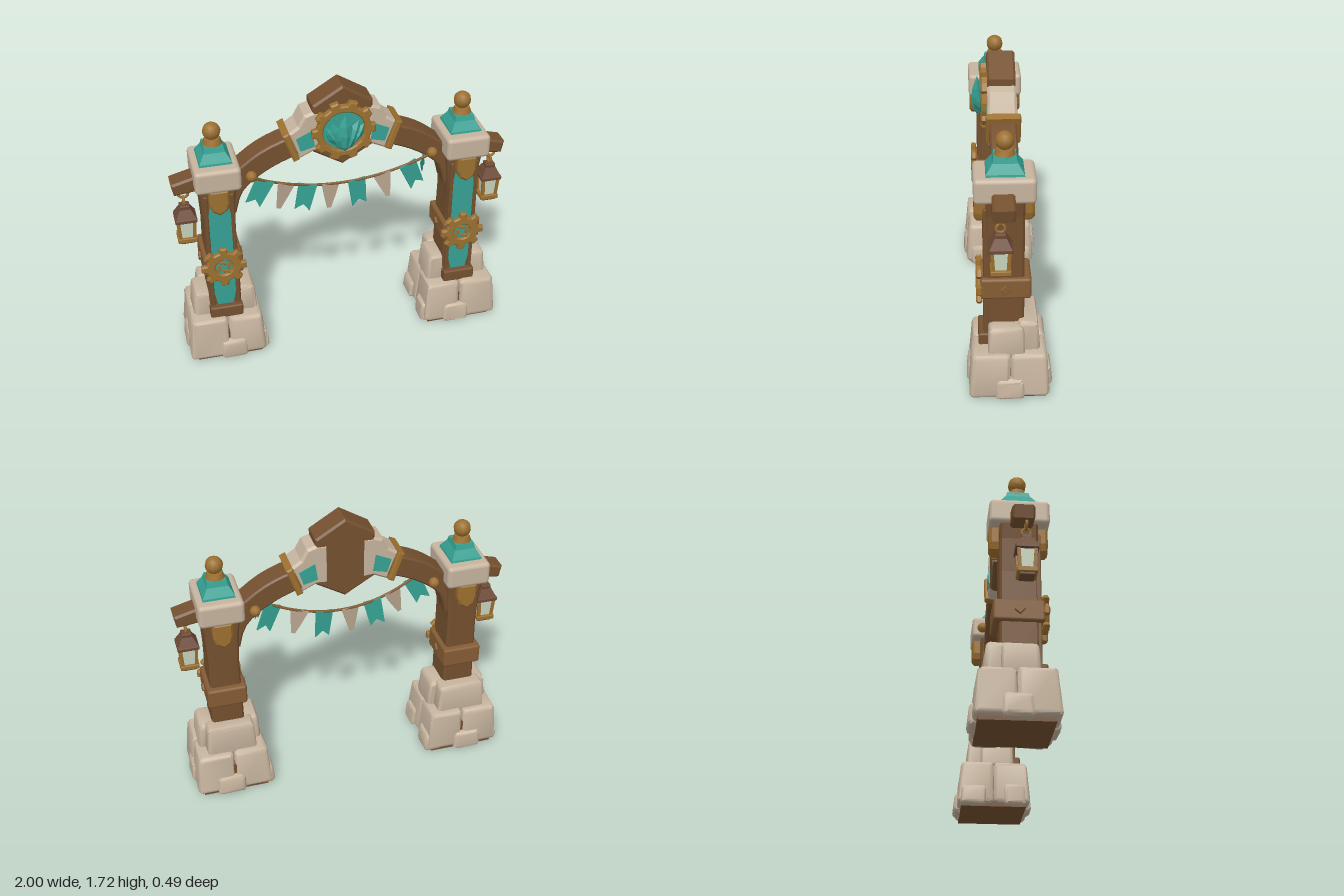
import * as THREE from 'three';
import { mergeVertices, toCreasedNormals } from 'three/addons/utils/BufferGeometryUtils.js';
import { RoundedBoxGeometry } from 'three/addons/geometries/RoundedBoxGeometry.js';

const mat = (name, color) => {
  const m = new THREE.MeshStandardMaterial({ color });
  m.name = name;
  return m;
};

export function createModel() {
  const wood = mat('wood', 0x74502f), bandWood = mat('light wood', 0x855c34), gold = mat('gold', 0x9c7030);
  const teal = mat('teal', 0x36a294), stone = mat('stone', 0xc6b49e), linen = mat('linen', 0xb8a48e);
  const glass = mat('lantern glass', 0xc9d6bf), iron = mat('lantern brown', 0x6e4a36);

  const root = new THREE.Group();
  root.name = 'festivalArch';
  const CX = 0.74, CZ = 0.025;

  let seed = 7;
  const rand = () => ((seed = (seed * 16807) % 2147483647) / 2147483647) - 0.5;

  const add = (parent, name, geo, material, x = 0, y = 0, z = 0) => {
    const m = new THREE.Mesh(geo, material);
    m.name = name;
    m.position.set(x, y, z);
    parent.add(m);
    return m;
  };
  const box = (w, h, d, r = 0.012) => new RoundedBoxGeometry(w, h, d, 1, r);
  const crease = (g, a = 0.6) => toCreasedNormals(g, a);

  // Outline extruded from z0 to z1 with a bevel kept inside the outline
  const slab = (pts, z0, z1, b = 0.01, hole) => {
    const shape = new THREE.Shape(pts.map(p => new THREE.Vector2(p[0], p[1])));
    if (hole) shape.holes.push(new THREE.Path().absarc(0, 0, hole, 0, Math.PI * 2, true));
    const g = new THREE.ExtrudeGeometry(shape, {
      depth: z1 - z0 - 2 * b, bevelEnabled: b > 0, bevelSize: b, bevelThickness: b,
      bevelOffset: -b, bevelSegments: 1, curveSegments: 10,
    });
    g.translate(0, 0, z0 + b);
    return g;
  };
  const mirrored = half => [...half, ...half.slice().reverse().filter(p => p[0] !== 0).map(([x, y]) => [-x, y])];

  // Toothed ring
  const gear = (teeth, rIn, rRoot, rOut, z0, z1) => {
    const pts = [], step = (Math.PI * 2) / teeth;
    for (let i = 0; i < teeth; i++) {
      for (const [f, r] of [[-0.3, rRoot], [-0.2, rOut], [0.2, rOut], [0.3, rRoot]]) {
        const a = (i + f) * step;
        pts.push([Math.cos(a) * r, Math.sin(a) * r]);
      }
    }
    return slab(pts, z0, z1, 0.008, rIn);
  };

  // Worn rounded block, pulled in towards the pillar axis as it rises
  const block = (o0, o1, y0, y1, z0, z1, s) => {
    let g = new RoundedBoxGeometry(o1 - o0, y1 - y0, z1 - z0, 2, 0.028);
    g.translate((o0 + o1) / 2 * s, (y0 + y1) / 2, (z0 + z1) / 2);
    g.deleteAttribute('normal');
    g.deleteAttribute('uv');
    g = mergeVertices(g);
    const p = g.attributes.position;
    for (let i = 0; i < p.count; i++) {
      const k = 1 - 0.35 * p.getY(i);
      p.setXYZ(i, p.getX(i) * k + rand() * 0.006, p.getY(i) + rand() * 0.006, p.getZ(i) * k + rand() * 0.006);
    }
    return crease(g, 0.8);
  };

  // Outward offset, height and depth ranges of the footing stones
  const stones = [
    [0.003, 0.245, 0.02, 0.29, 0, 0.235], [-0.23, -0.003, 0.02, 0.285, 0, 0.23],
    [0.003, 0.24, 0.02, 0.285, -0.225, 0], [-0.23, -0.003, 0.02, 0.29, -0.225, 0],
    [-0.11, 0.06, 0.005, 0.135, 0.1, 0.245], [-0.25, -0.1, 0.005, 0.14, 0.06, 0.2],
    [0.13, 0.255, 0.01, 0.14, -0.08, 0.09], [-0.06, 0.12, 0.005, 0.13, -0.245, -0.1],
    [-0.25, -0.12, 0.005, 0.13, -0.21, -0.05],
    [0.08, 0.215, 0.26, 0.44, -0.09, 0.14], [-0.215, -0.08, 0.26, 0.45, -0.09, 0.14],
    [-0.17, 0.17, 0.26, 0.46, -0.185, -0.05],
  ];

  const lantern = (parent, x, z) => {
    const l = new THREE.Group();
    l.name = 'lantern';
    l.position.set(x, 0, z);
    parent.add(l);
    add(l, 'lanternHook', new THREE.TorusGeometry(0.028, 0.009, 6, 12), gold, 0, 1.135);
    add(l, 'lanternLink', new THREE.TorusGeometry(0.024, 0.008, 6, 12), gold, 0, 1.085).rotation.y = Math.PI / 2;
    const pyramid = (rt, rb, h) => new THREE.CylinderGeometry(rt, rb, h, 4).rotateY(Math.PI / 4).toNonIndexed();
    const roof = pyramid(0.045, 0.085, 0.055);
    roof.computeVertexNormals();
    add(l, 'lanternRoof', roof, iron, 0, 1.012);
    add(l, 'lanternTop', box(0.06, 0.025, 0.06, 0.006), iron, 0, 1.05);
    add(l, 'lanternEave', box(0.128, 0.025, 0.128, 0.006), iron, 0, 0.975);
    const pane = pyramid(0.064, 0.054, 0.12);
    pane.computeVertexNormals();
    add(l, 'lanternGlass', pane, glass, 0, 0.905);
    for (const i of [-1, 1]) for (const j of [-1, 1]) {
      const post = add(l, 'lanternPost', new THREE.BoxGeometry(0.018, 0.13, 0.018), gold, i * 0.043, 0.905, j * 0.043);
      post.rotation.set(j * 0.06, 0, -i * 0.06);
    }
    add(l, 'lanternFoot', box(0.112, 0.03, 0.112, 0.006), gold, 0, 0.837);
    add(l, 'lanternBase', box(0.085, 0.02, 0.085, 0.006), iron, 0, 0.819);
  };

  for (const s of [-1, 1]) {
    const side = s > 0 ? 'left' : 'right';
    const map = pts => pts.map(([x, y]) => [x * s, y]);
    const pillar = new THREE.Group();
    pillar.name = side + 'Pillar';
    pillar.position.x = s * CX;
    root.add(pillar);

    // Footing
    add(pillar, 'footingCore', new THREE.BoxGeometry(0.4, 0.2, 0.4), wood, 0, 0.1, 0);
    stones.forEach(b => add(pillar, 'footingStone', block(...b, s), stone));

    // Post, front rails, plinth and middle band
    add(pillar, 'post', slab(mirrored([[0.1, 0.25], [0.095, 0.6], [0.09, 0.9], [0.1, 1.1], [0.12, 1.22]]), -0.08, 0.13, 0.012), wood);
    for (const i of [-1, 1]) add(pillar, 'frontRail', box(0.024, 0.8, 0.03, 0.006), wood, i * 0.077, 0.74, 0.13);
    add(pillar, 'plinth', box(0.2, 0.08, 0.1), wood, 0, 0.32, 0.125);
    add(pillar, 'middleBand', box(0.238, 0.125, 0.28, 0.015), bandWood, 0, 0.66, 0.022);
    for (const i of [-1, 1]) add(pillar, 'bandStud', box(0.025, 0.045, 0.045, 0.006), bandWood, i * 0.119, 0.66, CZ).rotation.x = 0.7;

    // Banner and its gear
    add(pillar, 'banner', slab(mirrored([[0.045, 0.35], [0.066, 0.45], [0.066, 1.0], [0.05, 1.08]]), 0.13, 0.139, 0), teal);
    add(pillar, 'bannerGear', gear(8, 0.052, 0.105, 0.135, 0.15, 0.185), gold, 0, 0.66);
    add(pillar, 'gearCentre', new THREE.CircleGeometry(0.06, 16), teal, 0, 0.66, 0.166);
    for (let i = 0; i < 4; i++) {
      const a = i * Math.PI / 2 + 0.35;
      const spoke = add(pillar, 'gearSpoke', box(0.055, 0.016, 0.02, 0.004), gold, Math.cos(a) * 0.034, 0.66 + Math.sin(a) * 0.034, 0.171);
      spoke.rotation.z = a + 0.9;
    }

    // Shields below the cap, front and back
    const shield = mirrored([[0, 1.03], [0.045, 1.06], [0.058, 1.1], [0.06, 1.2]]);
    add(pillar, 'frontShield', slab(shield, 0.12, 0.19, 0.014), gold);
    add(pillar, 'backShield', slab(shield, -0.135, -0.07, 0.014), gold);

    // Cap stone, roof and finial
    add(pillar, 'capStone', new RoundedBoxGeometry(0.265, 0.145, 0.335, 3, 0.025), stone, 0, 1.26, 0.028);
    const tiers = [[0.135, 0.13, 1.325, 1.345], [0.13, 0.088, 1.345, 1.395], [0.088, 0.078, 1.395, 1.425]];
    for (const [rb, rt, y0, y1] of tiers) {
      const g = new THREE.CylinderGeometry(rt, rb, y1 - y0, 4).rotateY(Math.PI / 4).toNonIndexed();
      g.computeVertexNormals();
      add(pillar, 'capRoof', g, teal, 0, (y0 + y1) / 2, CZ).scale.z = 1.1;
    }
    add(pillar, 'finialCollar', crease(new THREE.CylinderGeometry(0.045, 0.06, 0.04, 10)), gold, 0, 1.438, CZ);
    add(pillar, 'finialBall', new THREE.SphereGeometry(0.052, 10, 8), gold, 0, 1.502, CZ);

    // Outer beam and lantern
    add(root, side + 'Beam', slab(map([[0.7, 1.14], [0.85, 1.16], [0.985, 1.145], [1.0, 1.22], [0.85, 1.26], [0.7, 1.27]]), -0.025, 0.1, 0.012), wood);
    lantern(root, s * 0.93, 0.055);

    // Arch arm
    const under = new THREE.SplineCurve([[0.635, 0.97], [0.59, 1.11], [0.47, 1.215], [0.3, 1.295], [0.1, 1.34]].map(p => new THREE.Vector2(...p)));
    const over = new THREE.SplineCurve([[0.1, 1.47], [0.32, 1.425], [0.48, 1.36], [0.6, 1.275], [0.7, 1.2]].map(p => new THREE.Vector2(...p)));
    const arm = [...under.getPoints(12), ...over.getPoints(10)].map(p => [p.x, p.y]);
    add(root, side + 'ArchArm', crease(slab(map([...arm, [0.7, 0.97]]), -0.06, 0.092, 0.01), 0.4), wood);

    // Gold collar and stone shoulder with teal panels
    add(root, side + 'ArchCollar', slab(map([[0.352, 1.45], [0.315, 1.468], [0.255, 1.29], [0.29, 1.275]]), -0.085, 0.112, 0.008), gold);
    add(root, side + 'Shoulder', slab(map([[0.318, 1.455], [0.26, 1.495], [0.225, 1.56], [0.17, 1.578], [0.1, 1.578], [0.1, 1.32], [0.17, 1.325], [0.255, 1.285]]), -0.065, 0.1, 0.014), stone);
    const panel = map([[0.275, 1.42], [0.18, 1.465], [0.165, 1.36], [0.25, 1.338]]);
    add(root, side + 'FrontPanel', slab(panel, 0.098, 0.104, 0), teal);
    add(root, side + 'BackPanel', slab(panel, -0.069, -0.063, 0), teal);

    // Peg that holds the garland
    add(root, side + 'Peg', new THREE.CylinderGeometry(0.016, 0.016, 0.2, 8).rotateX(Math.PI / 2), gold, s * 0.54, 1.22, 0.015);
    for (const z of [-0.08, 0.11]) add(root, side + 'PegKnob', new THREE.SphereGeometry(0.033, 8, 6), gold, s * 0.54, 1.22, z);
  }

  // Keystone with large gear and leaf crest
  add(root, 'keystone', slab(mirrored([[0, 1.215], [0.175, 1.32], [0.175, 1.615], [0, 1.722]]), -0.062, 0.098, 0.012), wood);
  add(root, 'crestGear', gear(10, 0.122, 0.162, 0.188, 0.09, 0.135), gold, 0, 1.45);
  add(root, 'crestDisc', new THREE.CircleGeometry(0.13, 24), teal, 0, 1.45, 0.103);
  const petal = (w, h) => {
    const g = new THREE.LatheGeometry([[0, -0.5], [0.7, -0.35], [1, -0.05], [0.75, 0.2], [0, 0.5]].map(([x, y]) => new THREE.Vector2(x * w, y * h)), 4).toNonIndexed();
    g.scale(1, 1, 0.035 / w);
    g.computeVertexNormals();
    return g;
  };
  add(root, 'crestPetal', petal(0.05, 0.24), teal, 0, 1.45, 0.153);
  for (const s of [-1, 1]) {
    add(root, 'crestPetal', petal(0.042, 0.2), teal, s * 0.045, 1.43, 0.145).rotation.z = -s * 0.38;
    add(root, 'crestPetal', petal(0.032, 0.14), teal, s * 0.077, 1.435, 0.14).rotation.z = -s * 0.55;
  }

  // Garland rope and flags
  const ropeY = x => 1.05 + 0.53 * x * x;
  const ropeZ = x => 0.04 + 0.2 * x * x;
  const ropePts = [];
  for (let x = -0.54; x < 0.55; x += 0.09) ropePts.push(new THREE.Vector3(x, ropeY(x), ropeZ(x)));
  add(root, 'garlandRope', new THREE.TubeGeometry(new THREE.CatmullRomCurve3(ropePts), 32, 0.008, 6), bandWood);
  const swallow = [[-0.055, 0.005], [-0.05, -0.09], [-0.045, -0.175], [0, -0.135], [0.045, -0.175], [0.05, -0.09], [0.055, 0.005]];
  const pennant = [[-0.055, 0.005], [-0.035, -0.08], [-0.012, -0.165], [0.012, -0.165], [0.035, -0.08], [0.055, 0.005]];
  const flags = [[-0.46, 1, -0.1], [-0.33, 0, 0.2], [-0.2, 1, -0.15], [-0.06, 0, 0.1], [0.1, 1, 0.15], [0.25, 0, -0.2], [0.405, 1, 0.2], [0.485, 1, 1.0]];
  for (const [x, tailed, turn] of flags) {
    const f = add(root, 'garlandFlag', slab(tailed ? swallow : pennant, -0.005, 0.005, 0), tailed ? teal : linen, x, ropeY(x), ropeZ(x));
    f.rotation.set(0, turn, Math.atan(1.06 * x));
    if (x > 0.45) f.scale.setScalar(0.6);
  }
  return root;
}
